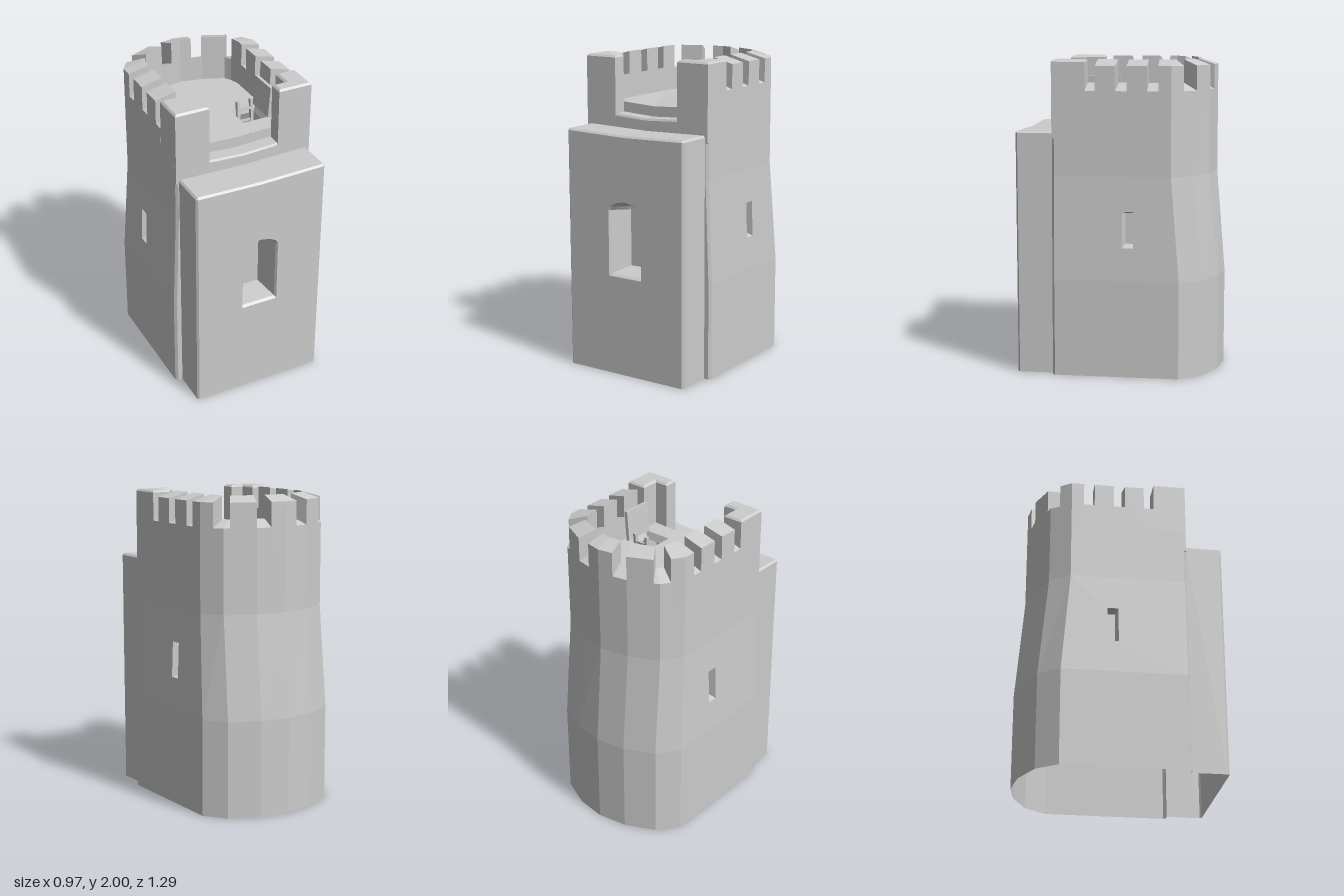
import * as THREE from 'three';

const stone = new THREE.MeshStandardMaterial({ color: 0xcccccc, flatShading: true, side: THREE.DoubleSide });

function addMesh(parent, name, geometry) {
  const mesh = new THREE.Mesh(geometry, stone);
  mesh.name = name;
  parent.add(mesh);
  return mesh;
}

// Faceted surface between rows of [x, y, z] points
function sheet(rows, closed = false) {
  const pos = [];
  for (let r = 0; r < rows.length - 1; r++) {
    const n = rows[r].length;
    for (let i = 0; i < (closed ? n : n - 1); i++) {
      const j = (i + 1) % n;
      const [a, b, c, d] = [rows[r][i], rows[r][j], rows[r + 1][j], rows[r + 1][i]];
      pos.push(...a, ...b, ...c, ...a, ...c, ...d);
    }
  }
  const g = new THREE.BufferGeometry();
  g.setAttribute('position', new THREE.Float32BufferAttribute(pos, 3));
  g.computeVertexNormals();
  return g;
}

// Flat polygon with an optional hole; each 2D point is placed by the rule
function panel(points, hole, place) {
  const shape = new THREE.Shape(points.map(p => new THREE.Vector2(...p)));
  if (hole) shape.holes.push(new THREE.Path(hole.map(p => new THREE.Vector2(...p))));
  const g = new THREE.ShapeGeometry(shape);
  const p = g.attributes.position;
  for (let i = 0; i < p.count; i++) p.setXYZ(i, ...place(p.getX(i), p.getY(i)));
  g.computeVertexNormals();
  return g;
}

const mirrorX = pts => [...pts, ...pts.filter(p => p[0] > 0).reverse().map(([x, ...r]) => [-x, ...r])];
const rect = (a0, a1, b0, b1) => [[a0, b0], [a1, b0], [a1, b1], [a0, b1]];

// Wall plan at the base and above the batter, from right side to back centre
const base = [[0.485, 0.395], [0.485, -0.395], [0.385, -0.53], [0.195, -0.62], [0, -0.65]];
const upper = [[0.46, 0.395], [0.46, -0.34], [0.375, -0.47], [0.19, -0.558], [0, -0.595]];
const LOW = 0.62, HIGH = 1.28, RIM = 1.66, FLOOR = 1.7;
const wallX = y => 0.485 - 0.025 * (y - LOW) / (HIGH - LOW);

function buildWalls(g) {
  const ring = (plan, y) => mirrorX(plan).map(([x, z]) => [x, y, z]);
  addMesh(g, 'lowerWall', sheet([ring(base, 0), ring(base, LOW)]));
  addMesh(g, 'backWall', sheet([ring(base.slice(1), LOW), ring(upper.slice(1), HIGH)]));
  addMesh(g, 'upperWall', sheet([ring(upper, HIGH), ring(upper, RIM)]));

  const slit = rect(-0.105, -0.035, 0.83, 1.06), slitBack = rect(-0.098, -0.05, 0.85, 1.045);
  for (const s of [1, -1]) {
    const side = new THREE.Group();
    side.name = s > 0 ? 'leftSide' : 'rightSide';
    side.scale.x = s;
    g.add(side);
    // Tapered side wall pierced by an arrow slit
    addMesh(side, 'sideWall', panel([[0.395, LOW], [0.395, HIGH], [-0.34, HIGH], [-0.395, LOW]], slit,
      (z, y) => [wallX(y), y, z]));
    addMesh(side, 'slitRecess', sheet([
      slit.map(([z, y]) => [wallX(y), y, z]), slitBack.map(([z, y]) => [wallX(y) - 0.06, y, z])], true));
    addMesh(side, 'slitBack', panel(slitBack, null, (z, y) => [wallX(y) - 0.06, y, z]));
    // Bevelled front edge running in to the projecting block
    addMesh(side, 'frontEdge', sheet([[0, 0.485], [LOW, 0.485], [HIGH, 0.46], [RIM, 0.46]].map(([y, x]) =>
      [[x, y, 0.395], [x - 0.015, y, 0.41], [0.44, y, 0.41]])));
  }
}

// Parapet stations: outer x, z, inner x, z, and whether a merlon follows
const stations = [
  [0.46, 0.2, 0.325, 0.2, 0], [0.46, 0.135, 0.325, 0.135, 1], [0.46, 0.01, 0.325, 0.005, 0],
  [0.46, -0.062, 0.325, -0.062, 1], [0.46, -0.19, 0.325, -0.185, 0], [0.46, -0.26, 0.325, -0.25, 1],
  [0.46, -0.34, 0.325, -0.3, 1], [0.412, -0.413, 0.307, -0.355, 0], [0.375, -0.47, 0.29, -0.385, 0],
  [0.34, -0.487, 0.28, -0.4, 1], [0.19, -0.558, 0.145, -0.455, 0], [0.095, -0.577, 0.07, -0.47, 1],
  [0, -0.595, 0, -0.485, 1]];

function buildParapet(g) {
  const cell = (a, b, merlon) => {
    const [outTop, inTop] = merlon ? [1.965, 2] : [1.81, 1.855];
    const section = ([ox, oz, ix, iz]) => [[ox, RIM, oz], [ox, outTop, oz], [ix, inTop, iz], [ix, RIM, iz]];
    return [section(a), section(b)];
  };
  for (const s of [1, -1]) {
    const half = new THREE.Group();
    half.name = s > 0 ? 'leftParapet' : 'rightParapet';
    half.scale.x = s;
    g.add(half);
    for (let i = 0; i < stations.length - 1; i++) {
      const merlon = stations[i][4], name = merlon ? 'merlon' : 'crenel';
      const ends = cell(stations[i], stations[i + 1], merlon);
      addMesh(half, name, sheet(ends, true));
      if (merlon) for (const [p, q, r, t] of ends) addMesh(half, 'merlonEnd', sheet([[p, q], [t, r]]));
    }
    // L-shaped corner beside the front opening
    const corner = new THREE.Shape([[0.459, 0.2], [0.459, 0.41], [0.235, 0.41], [0.235, 0.32], [0.325, 0.32], [0.325, 0.2]]
      .map(p => new THREE.Vector2(...p)));
    const geo = new THREE.ExtrudeGeometry(corner, {
      depth: 0.476, bevelEnabled: true, bevelSize: 0.012, bevelThickness: 0.012, bevelOffset: -0.012, bevelSegments: 1 });
    geo.rotateX(Math.PI / 2).translate(0, 1.988, 0);
    addMesh(half, 'frontCorner', geo);
  }
}

function buildRoof(g) {
  const plan = mirrorX([[0.24, 0.315], [0.33, 0.32], [0.33, -0.3], [0.285, -0.405], [0.147, -0.46], [0, -0.49]]);
  const hole = rect(0.11, 0.3, 0, 0.19), holeLow = rect(0.13, 0.28, 0.01, 0.175);
  addMesh(g, 'roofFloor', panel([[0, 0.315], ...plan], hole, (x, z) => [x, x === 0 && z > 0.3 ? FLOOR - 0.012 : FLOOR, z]));
  addMesh(g, 'hatchRim', sheet([
    hole.map(([x, z]) => [x, FLOOR, z]), holeLow.map(([x, z]) => [x, FLOOR - 0.05, z])], true));
  // Worn sill across the front opening
  addMesh(g, 'frontSill', sheet([[FLOOR, 0.315], [1.635, 0.315], [1.635, 0.402], [1.622, 0.41], [1.5, 0.41]].map(([y, z]) =>
    [[-0.24, y, z], [0, y - 0.013, z], [0.24, y, z]])));

  const lid = addMesh(g, 'hatchLid', new THREE.BoxGeometry(0.022, 0.2, 0.2));
  lid.position.set(0.298, FLOOR + 0.1, 0.098);
  lid.rotation.z = -0.07;

  const ladder = new THREE.Group();
  ladder.name = 'ladder';
  ladder.position.set(0.203, 1.46, 0.052);
  ladder.rotation.x = -0.09;
  for (const x of [-0.047, 0.047]) addMesh(ladder, 'ladderRail', new THREE.BoxGeometry(0.018, 0.6, 0.025)).position.x = x;
  for (let i = 0; i < 7; i++) {
    addMesh(ladder, 'ladderRung', new THREE.BoxGeometry(0.08, 0.014, 0.014)).position.y = 0.24 - i * 0.08;
  }
  g.add(ladder);
}

// Arched opening outline
const arch = (w, y0, spring, apex) => {
  const h = apex - spring;
  return [[-w, y0], [w, y0], [w, spring], [w * 0.86, spring + h * 0.42], [w * 0.5, spring + h * 0.8], [0, apex],
    [-w * 0.5, spring + h * 0.8], [-w * 0.86, spring + h * 0.42], [-w, spring]];
};

function buildFrontBlock(g) {
  const rings = [[arch(0.123, 0.642, 1.07, 1.13), 0.645], [arch(0.114, 0.655, 1.065, 1.118), 0.63],
    [arch(0.088, 0.672, 1.04, 1.092), 0.455]];
  addMesh(g, 'frontFace', panel([[-0.428, 0], [0.428, 0], [0.428, 1.543], [0, 1.533], [-0.428, 1.543]], rings[0][0],
    (x, y) => [x, y, 0.645]));
  addMesh(g, 'windowRecess', sheet(rings.map(([pts, z]) => pts.map(([x, y]) => [x, y, z])), true));
  addMesh(g, 'windowBack', panel(rings[2][0], null, (x, y) => [x, y, 0.455]));
  // Block sides with bevelled corners
  for (const s of [1, -1]) {
    addMesh(g, 'blockSide', sheet([0, 1.543].map(y => [[s * 0.428, y, 0.645], [s * 0.44, y, 0.633], [s * 0.44, y, 0.41]])));
  }
  // Gently sagging top
  addMesh(g, 'blockTop', sheet([[1.543, 0.645, 0.428], [1.555, 0.633, 0.44], [1.555, 0.405, 0.44]].map(([y, z, w]) =>
    [[-w, 1.543, z], [-0.428, y, z], [0, y - 0.01, z], [0.428, y, z], [w, 1.543, z]])));
}

export function createModel() {
  const tower = new THREE.Group();
  tower.name = 'tower';
  for (const [name, build] of [['walls', buildWalls], ['parapet', buildParapet], ['roof', buildRoof], ['frontBlock', buildFrontBlock]]) {
    const part = new THREE.Group();
    part.name = name;
    build(part);
    tower.add(part);
  }
  return tower;
}
